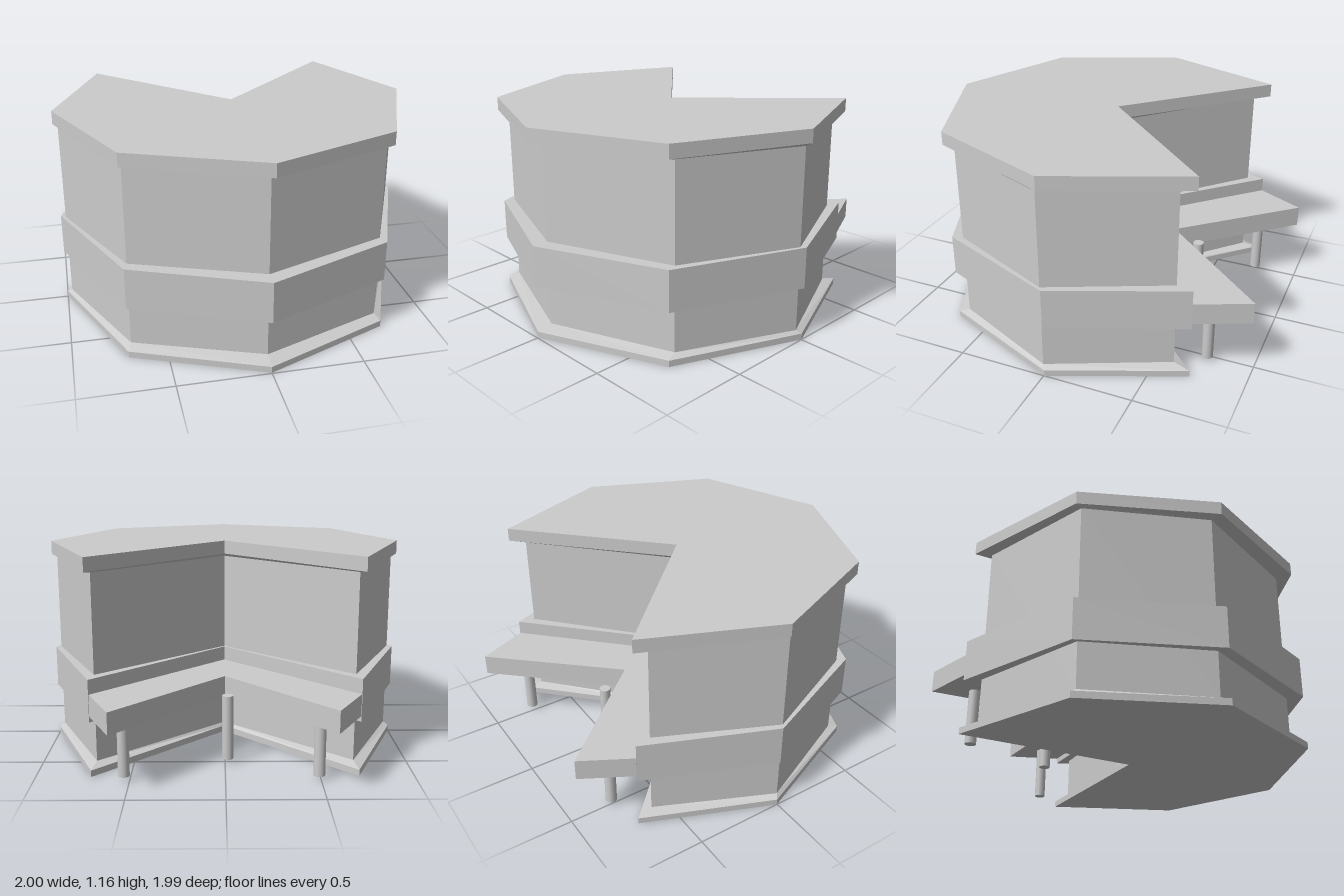
import * as THREE from 'three';

const mat = new THREE.MeshStandardMaterial({ color: 0xcccccc, flatShading: true });
const postMat = new THREE.MeshStandardMaterial({ color: 0xcccccc });

// Octagon seen from above with the two back segments cut out, as [x, z]
function outline(rx, rz, cz) {
  const pts = [[0, cz]];
  for (let i = 0; i < 7; i++) {
    const a = -Math.PI / 4 + (i * Math.PI) / 4;
    pts.push([Math.cos(a) * rx, cz + Math.sin(a) * rz]);
  }
  return pts;
}

// Closed solid through a stack of sections { pts, y }, bottom to top
function loft(name, sections) {
  const pos = [];
  const tri = (a, b, c) => pos.push(...a, ...b, ...c);
  const rings = sections.map((s) => s.pts.map(([x, z]) => [x, s.y, z]));
  const n = rings[0].length;
  for (let r = 0; r < rings.length - 1; r++) {
    const lo = rings[r], hi = rings[r + 1];
    for (let i = 0; i < n; i++) {
      const j = (i + 1) % n;
      tri(lo[i], hi[i], hi[j]);
      tri(lo[i], hi[j], lo[j]);
    }
  }
  // caps, each triangle turned to face outward
  const cap = (ring, up) => {
    const flat = ring.map((p) => new THREE.Vector2(p[0], p[2]));
    for (const [a, b, c] of THREE.ShapeUtils.triangulateShape(flat, [])) {
      const A = flat[a], B = flat[b], C = flat[c];
      const facesDown = (B.x - A.x) * (C.y - A.y) - (B.y - A.y) * (C.x - A.x) > 0;
      if (facesDown === up) tri(ring[a], ring[c], ring[b]);
      else tri(ring[a], ring[b], ring[c]);
    }
  };
  cap(rings[0], false);
  cap(rings[rings.length - 1], true);
  const geo = new THREE.BufferGeometry();
  geo.setAttribute('position', new THREE.Float32BufferAttribute(pos, 3));
  geo.computeVertexNormals();
  const mesh = new THREE.Mesh(geo, mat);
  mesh.name = name;
  return mesh;
}

export function createModel() {
  const group = new THREE.Group();
  group.name = 'building';
  const outer = outline(1, 0.998, -0.003);
  const inner = outline(0.973, 0.89, 0.015);

  // Main body and its trims
  group.add(
    loft('base', [{ pts: outer, y: 0 }, { pts: outer, y: 0.036 }, { pts: inner, y: 0.053 }]),
    loft('walls', [{ pts: inner, y: 0.05 }, { pts: inner, y: 1.08 }]),
    loft('middleBand', [{ pts: outer, y: 0.302 }, { pts: outer, y: 0.532 }]),
    loft('roof', [{ pts: inner, y: 1.073 }, { pts: outer, y: 1.088 }, { pts: outer, y: 1.163 }])
  );

  // V-shaped balcony in the notch
  const deck = [[0, 0], [-0.705, -0.708], [-0.555, -0.978], [0, -0.365], [0.575, -0.995], [0.705, -0.708]];
  group.add(loft('balcony', [{ pts: deck, y: 0.333 }, { pts: deck, y: 0.452 }]));

  // Balcony posts as [x, z, top]; the middle one is taller
  for (const [x, z, top] of [[-0.49, -0.75, 0.34], [-0.015, -0.508, 0.385], [0.53, -0.75, 0.34]]) {
    const bottom = 0.025;
    const post = new THREE.Mesh(new THREE.CylinderGeometry(0.031, 0.031, top - bottom, 16), postMat);
    post.position.set(x, (top + bottom) / 2, z);
    post.name = 'balconyPost';
    group.add(post);
  }
  return group;
}
